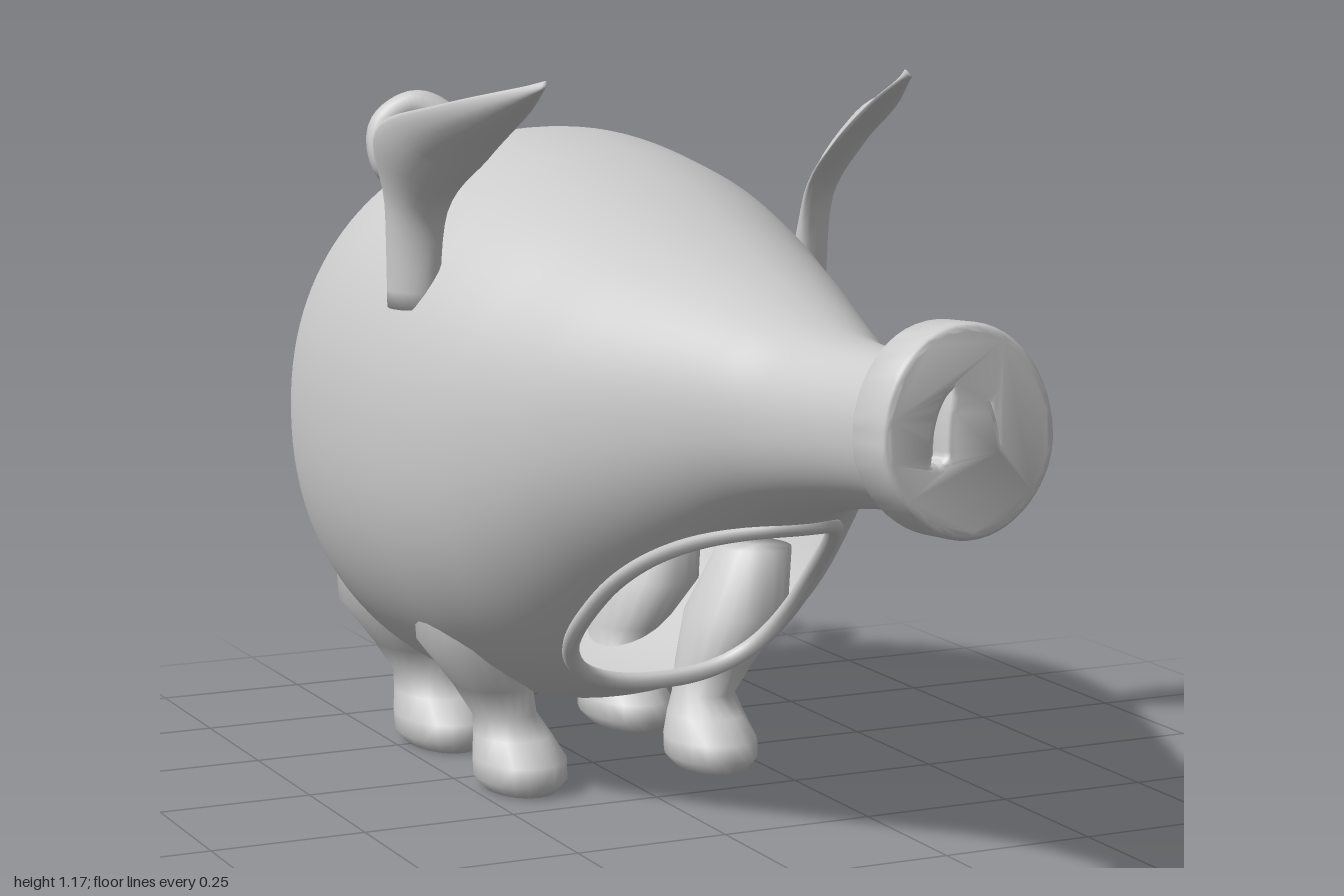
import * as THREE from 'three';
import { toCreasedNormals } from 'three/addons/utils/BufferGeometryUtils.js';

const material = new THREE.MeshStandardMaterial({ color: 0xcccccc, side: THREE.DoubleSide });
const V = (x, y, z) => new THREE.Vector3(x, y, z);
const spline = (pts) => new THREE.CatmullRomCurve3(pts.map((p) => V(...p)), false, 'catmullrom');

// Skins a list of closed rings, caps both ends and turns the faces outwards.
// Faces whose centre passes skip() are left open.
function loft(rings, skip = () => false) {
  const n = rings[0].length;
  const pts = rings.flat();
  const tris = [];
  const add = (a, b, c) => {
    const mid = pts[a].clone().add(pts[b]).add(pts[c]).divideScalar(3);
    if (!skip(mid)) tris.push([a, b, c]);
  };
  for (let i = 0; i < rings.length - 1; i++) {
    for (let j = 0; j < n; j++) {
      const k = (j + 1) % n;
      const a = i * n + j, b = i * n + k, c = a + n, d = b + n;
      add(a, b, c);
      add(b, d, c);
    }
  }
  const last = (rings.length - 1) * n;
  for (const [start, flip] of [[0, true], [last, false]]) {
    const centre = V(0, 0, 0);
    for (let j = 0; j < n; j++) centre.addScaledVector(pts[start + j], 1 / n);
    const c = pts.push(centre) - 1;
    for (let j = 0; j < n; j++) {
      const a = start + j, b = start + ((j + 1) % n);
      flip ? add(b, a, c) : add(a, b, c);
    }
  }
  let volume = 0;
  for (const [a, b, c] of tris) volume += pts[a].dot(pts[b].clone().cross(pts[c]));
  const geometry = new THREE.BufferGeometry().setFromPoints(pts);
  geometry.setIndex(tris.flatMap(([a, b, c]) => (volume < 0 ? [a, c, b] : [a, b, c])));
  geometry.computeVertexNormals();
  return geometry;
}

// Body stations from neck to rump: z, top, bottom, half width
const stations = [
  [0.95, 0.83, 0.61, 0.1], [0.85, 0.83, 0.61, 0.1], [0.73, 0.825, 0.597, 0.105],
  [0.6, 0.83, 0.57, 0.125], [0.5, 0.853, 0.535, 0.16], [0.4, 0.88, 0.48, 0.2],
  [0.3, 0.905, 0.415, 0.245], [0.2, 0.93, 0.345, 0.29], [0.1, 0.957, 0.265, 0.33],
  [0, 0.985, 0.195, 0.37], [-0.1, 1.01, 0.155, 0.4], [-0.2, 1.032, 0.13, 0.418],
  [-0.4, 1.053, 0.112, 0.427], [-0.55, 1.025, 0.125, 0.41], [-0.66, 0.975, 0.18, 0.37],
  [-0.75, 0.915, 0.27, 0.3], [-0.82, 0.83, 0.39, 0.215], [-0.86, 0.73, 0.49, 0.12],
  [-0.875, 0.605, 0.595, 0.005],
];
const heights = spline(stations.map(([z, top, bottom]) => [z, (top + bottom) / 2, (top - bottom) / 2]));
const widths = spline(stations.map(([z, , , w]) => [z, w, 0]));
const POWER = 2.15;
function section(t) {
  const h = heights.getPoint(t);
  return { z: h.x, cy: h.y, hy: h.z, w: widths.getPoint(t).y };
}
const rounded = (v, p) => Math.sign(v) * Math.abs(v) ** (2 / p);

// Opening under the neck, as a rounded outline seen from the front
const OPEN = { cy: 0.365, ry: 0.165, power: 2.5 };
const openWidth = (y) => 0.183 - 0.12 * (y - OPEN.cy);
const inOpening = (p) => p.z > -0.2
  && Math.abs(p.x / openWidth(p.y)) ** OPEN.power
  + Math.abs((p.y - OPEN.cy) / OPEN.ry) ** OPEN.power < 1;

function bodyGeometry() {
  const rings = [];
  for (let i = 0; i <= 144; i++) {
    const { z, cy, hy, w } = section(i / 144);
    rings.push(Array.from({ length: 120 }, (_, j) => {
      const a = (j / 120) * Math.PI * 2;
      return V(w * rounded(Math.cos(a), POWER), cy + hy * rounded(Math.sin(a), POWER), z);
    }));
  }
  return loft(rings, inOpening);
}

// Rim that follows the opening over the body's surface
function rimGeometry() {
  const pts = [];
  for (let i = 0; i < 48; i++) {
    const a = (i / 48) * Math.PI * 2;
    const y = OPEN.cy + OPEN.ry * rounded(Math.sin(a), OPEN.power);
    const x = openWidth(y) * rounded(Math.cos(a), OPEN.power);
    let lo = 0, hi = 0.65;
    for (let k = 0; k < 30; k++) {
      const mid = (lo + hi) / 2;
      const s = section(mid);
      const inside = Math.abs(x / s.w) ** POWER + Math.abs((y - s.cy) / s.hy) ** POWER < 1;
      inside ? (hi = mid) : (lo = mid);
    }
    pts.push(V(x, y, section(hi).z));
  }
  return new THREE.TubeGeometry(new THREE.CatmullRomCurve3(pts, true), 144, 0.014, 8, true);
}

// Egg-shaped snout disc with two slanted nostril slits
function snoutGeometry() {
  const shape = new THREE.Shape();
  shape.moveTo(0, 0.148);
  shape.bezierCurveTo(0.08, 0.148, 0.134, 0.07, 0.134, -0.01);
  shape.bezierCurveTo(0.134, -0.08, 0.07, -0.148, 0, -0.148);
  shape.bezierCurveTo(-0.07, -0.148, -0.134, -0.08, -0.134, -0.01);
  shape.bezierCurveTo(-0.134, 0.07, -0.08, 0.148, 0, 0.148);
  for (const s of [1, -1]) {
    const slit = new THREE.Path();
    slit.moveTo(s * 0.027, 0.053);
    slit.quadraticCurveTo(s * 0.052, 0.025, s * 0.056, -0.038);
    slit.quadraticCurveTo(s * 0.045, -0.043, s * 0.037, -0.032);
    slit.quadraticCurveTo(s * 0.036, 0.02, s * 0.027, 0.053);
    shape.holes.push(slit);
  }
  const geometry = new THREE.ExtrudeGeometry(shape, {
    depth: 0.07, bevelSize: 0.012, bevelOffset: -0.012, bevelThickness: 0.012, bevelSegments: 4, curveSegments: 14,
  });
  return toCreasedNormals(geometry, 0.7);
}

// Ear blade: thin rings spanning a front and a rear edge
function earGeometry() {
  const front = spline([[0.325, 0.8, -0.12], [0.322, 0.95, -0.09], [0.305, 1.035, 0.03], [0.293, 1.115, 0.17], [0.3, 1.17, 0.26]]);
  const rear = spline([[0.37, 0.8, -0.2], [0.385, 0.96, -0.19], [0.43, 1.075, -0.12], [0.395, 1.125, 0.06], [0.306, 1.173, 0.257]]);
  const rings = [];
  for (let i = 0; i <= 24; i++) {
    const t = i / 24;
    const a = front.getPoint(t), b = rear.getPoint(t);
    const along = front.getTangent(t).add(rear.getTangent(t));
    const normal = b.clone().sub(a).cross(along).normalize();
    const thick = 0.008 + 0.024 * (1 - t) ** 2;
    const cup = 0.025 * Math.sin(Math.PI * t);
    rings.push(Array.from({ length: 20 }, (_, j) => {
      const q = (j / 20) * Math.PI * 2;
      const u = 0.5 + 0.5 * Math.cos(q);
      return a.clone().lerp(b, u).addScaledVector(normal, thick * Math.sin(q) + cup * (4 * u * (1 - u) - 0.5));
    }));
  }
  return loft(rings);
}

// Leg and foot rings: y, x, forward shift, half width, half length
function legGeometry(z, stretch) {
  const profile = [
    [0.36, 0.275, 0, 0.06, 0.07], [0.25, 0.24, 0, 0.085, 0.095], [0.17, 0.2, 0, 0.063, 0.073],
    [0.12, 0.18, 0, 0.052, 0.055], [0.09, 0.175, 0.02, 0.062, 0.075], [0.055, 0.172, 0.043, 0.074, 0.094],
    [0.025, 0.172, 0.045, 0.073, 0.096], [0.005, 0.172, 0.045, 0.055, 0.08],
  ];
  return loft(profile.map(([y, x, shift, rx, rz]) => Array.from({ length: 20 }, (_, j) => {
    const a = (j / 20) * Math.PI * 2;
    return V(x + rx * Math.cos(a), y, z + (shift + rz * Math.sin(a)) * stretch);
  })));
}

// Curly tail: a tube tapering to its tip
function tailGeometry() {
  const path = spline([
    [0, 0.86, -0.76], [0.01, 0.95, -0.81], [0, 1.02, -0.85], [-0.05, 1.055, -0.885], [-0.105, 1.02, -0.9],
    [-0.105, 0.955, -0.885], [-0.05, 0.925, -0.895], [0.01, 0.93, -0.94], [0.035, 0.965, -0.998],
  ]);
  const steps = 64, sides = 12;
  const geometry = new THREE.TubeGeometry(path, steps, 1, sides);
  const pos = geometry.attributes.position;
  for (let i = 0; i < pos.count; i++) {
    const t = Math.floor(i / (sides + 1)) / steps;
    const radius = 0.03 * Math.min(1, (1 - t) * 3 + 0.06);
    const centre = path.getPointAt(t);
    const p = V(0, 0, 0).fromBufferAttribute(pos, i).sub(centre).multiplyScalar(radius).add(centre);
    pos.setXYZ(i, p.x, p.y, p.z);
  }
  return geometry;
}

export function createModel() {
  const model = new THREE.Group();
  const add = (name, geometry) => {
    const mesh = new THREE.Mesh(geometry, material);
    mesh.name = name;
    model.add(mesh);
    return mesh;
  };
  add('body', bodyGeometry());
  add('openingRim', rimGeometry());
  const snout = add('snout', snoutGeometry());
  snout.position.set(0, 0.738, 0.904);
  snout.rotation.x = -0.07;
  add('tail', tailGeometry());

  // Paired parts, mirrored across x
  const pairs = { Ear: earGeometry(), FrontLeg: legGeometry(-0.2, 1), HindLeg: legGeometry(-0.55, 1.2) };
  for (const [name, geometry] of Object.entries(pairs)) {
    add('left' + name, geometry);
    add('right' + name, geometry).scale.x = -1;
  }
  return model;
}
